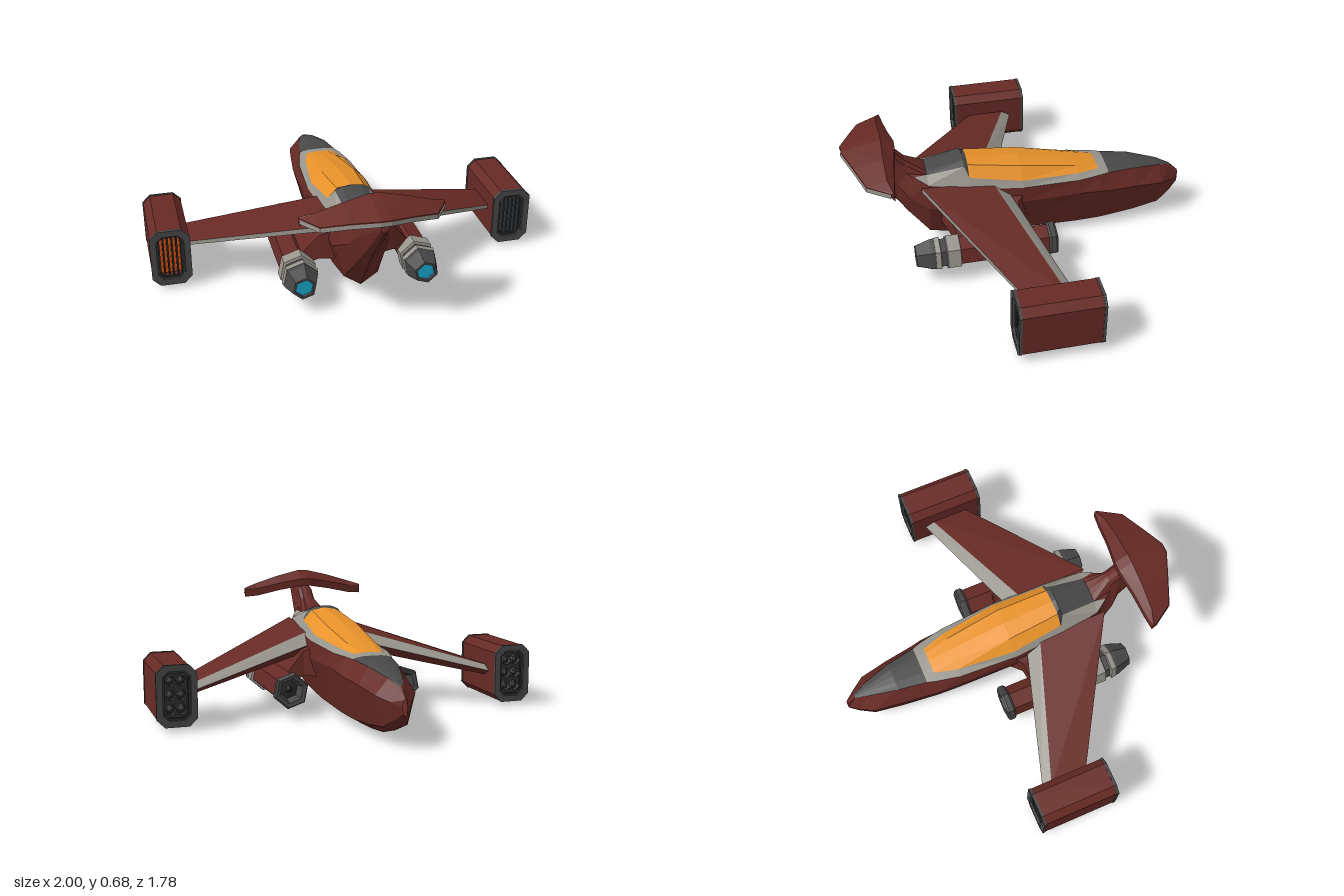
import * as THREE from 'three';

const mat = (color) => new THREE.MeshStandardMaterial({ color, flatShading: true, side: THREE.DoubleSide });
const RED = mat(0x672a25), GREY = mat(0x98958d), DARK = mat(0x484848), BLACK = mat(0x2b2d2f);
const AMBER = mat(0xe8922a), GLOW = mat(0xd8500f), CYAN = mat(0x18a8d0);

function add(parent, name, geometry, material, x = 0, y = 0, z = 0) {
  const mesh = new THREE.Mesh(geometry, material);
  mesh.name = name;
  mesh.position.set(x, y, z);
  parent.add(mesh);
  return mesh;
}

// Skin a row of cross-sections (each a list of [x, y, z]); optionally closed and capped.
function loft(sections, closed = false, capped = false) {
  const n = sections[0].length, index = [];
  for (let i = 0; i + 1 < sections.length; i++) {
    for (let j = 0; j < (closed ? n : n - 1); j++) {
      const a = i * n + j, b = i * n + (j + 1) % n;
      index.push(a, b, a + n, b, b + n, a + n);
    }
  }
  if (capped) {
    const last = (sections.length - 1) * n;
    for (let j = 1; j < n - 1; j++) index.push(0, j + 1, j, last, last + j, last + j + 1);
  }
  const g = new THREE.BufferGeometry();
  g.setAttribute('position', new THREE.Float32BufferAttribute(sections.flat(2), 3));
  g.setIndex(index);
  g.computeVertexNormals();
  return g;
}

// Rectangle with cut corners.
function octagon(w, h, c, Type = THREE.Shape) {
  const x = w / 2, y = h / 2;
  return new Type([[x - c, -y], [x, c - y], [x, y - c], [x - c, y], [c - x, y], [-x, y - c], [-x, c - y], [c - x, -y]]
    .map(([a, b]) => new THREE.Vector2(a, b)));
}

function octagonTube(w, h, c, wall, depth) {
  const shape = octagon(w, h, c);
  shape.holes.push(octagon(w - 2 * wall, h - 2 * wall, c * 0.7, THREE.Path));
  return new THREE.ExtrudeGeometry(shape, { depth, bevelEnabled: false });
}

// Fuselage stations: z, keel y, bilge y, side x y, shoulder x y, deck edge x y, spine y
const STATIONS = [
  [-0.89, 0.16, 0.17, 0.012, 0.2, 0.008, 0.235, 0.004, 0.238, 0.24],
  [-0.84, 0.11, 0.13, 0.055, 0.22, 0.01, 0.288, 0.006, 0.29, 0.292],
  [-0.77, 0.07, 0.09, 0.1, 0.24, 0.035, 0.315, 0.02, 0.318, 0.32],
  [-0.62, 0.025, 0.07, 0.125, 0.26, 0.075, 0.345, 0.06, 0.352, 0.36],
  [-0.47, 0.008, 0.06, 0.145, 0.27, 0.1, 0.355, 0.08, 0.362, 0.368],
  [-0.42, 0.005, 0.06, 0.153, 0.28, 0.115, 0.358, 0.07, 0.37, 0.376],
  [-0.3, 0.003, 0.06, 0.16, 0.29, 0.14, 0.36, 0.105, 0.38, 0.405],
  [0, 0.018, 0.07, 0.168, 0.29, 0.16, 0.375, 0.14, 0.405, 0.475],
  [0.27, 0.04, 0.09, 0.16, 0.3, 0.148, 0.4, 0.118, 0.45, 0.512],
  [0.29, 0.042, 0.09, 0.16, 0.3, 0.146, 0.403, 0.085, 0.5, 0.52],
  [0.48, 0.06, 0.12, 0.14, 0.3, 0.12, 0.435, 0.07, 0.465, 0.475],
  [0.58, 0.2, 0.24, 0.095, 0.36, 0.055, 0.48, 0.04, 0.52, 0.545],
  [0.63, 0.28, 0.31, 0.06, 0.42, 0.045, 0.52, 0.04, 0.57, 0.6],
  [0.88, 0.575, 0.58, 0.02, 0.59, 0.02, 0.6, 0.015, 0.61, 0.62],
];

function buildFuselage(parent) {
  const mirror = (half) => [...half, ...half.slice(0, -1).reverse().map(([x, y, z]) => [-x, y, z])];
  const under = STATIONS.map(([z, yb, y1, w, y2, ws, ys]) =>
    mirror([[ws, ys, z], [w, y2, z], [w * 0.62, y1, z], [0, yb, z]]).reverse());
  const edge = (s) => STATIONS.map(([z, , , , , ws, ys, wf, yf]) => [[s * ws, ys, z], [s * wf, yf, z]]);
  const top = STATIONS.map(([z, , , , , , , wf, yf, yt]) =>
    mirror([[wf, yf, z], [wf * 0.6, yf + (yt - yf) * 0.8, z], [0, yt, z]]));

  add(parent, 'hull', loft(under), RED);
  const decks = [['noseTip', 0, 1, RED, RED], ['noseDeck', 1, 4, DARK, DARK], ['canopySill', 4, 5, GREY, GREY],
    ['canopy', 5, 8, AMBER, GREY], ['canopyHoop', 8, 9, DARK, GREY], ['rearDeck', 9, 10, DARK, GREY], ['tailPost', 10, 13, RED, RED]];
  for (const [name, a, b, topMat, edgeMat] of decks) {
    add(parent, name, loft(top.slice(a, b + 1)), topMat);
    for (const s of [1, -1]) add(parent, name + 'Edge', loft(edge(s).slice(a, b + 1)), edgeMat);
  }
  // grey points running onto the tail post
  for (const s of [1, -1]) {
    add(parent, 'deckPoint', loft([[[s * 0.122, 0.438, 0.478], [s * 0.07, 0.468, 0.478]],
      [[s * 0.083, 0.467, 0.54], [s * 0.08, 0.47, 0.54]]]), GREY);
  }
}

function buildTailplane(parent) {
  // x, leading z, trailing z, ridge y, edge y
  const spans = [[0.345, 0.665, 0.68, 0.59, 0.585], [0.275, 0.657, 0.79, 0.612, 0.59], [0.15, 0.645, 0.84, 0.65, 0.618], [0.025, 0.625, 0.89, 0.68, 0.64]];
  const all = [...spans, ...[...spans].reverse().map(([x, ...r]) => [-x, ...r])];
  add(parent, 'tailplane', loft(all.map(([x, zl, zt, yr, ye]) => {
    const zr = zl + (zt - zl) * 0.25;
    return [[x, ye - 0.022, zt], [x, ye, zt], [x, yr, zr], [x, ye - 0.005, zl], [x, ye - 0.045, zl], [x, ye - 0.03, zr]];
  }), true, true), RED);
  add(parent, 'tailplaneTrim', loft(all.map(([x, , zt, , ye]) => [[x, ye - 0.004, zt + 0.003], [x * 1.005, ye - 0.026, zt + 0.003]])), GREY);
}

function buildWing(parent) {
  // per section: trailing top, trailing bottom, underside, leading edge, top front
  const root = [[0.13, 0.433, 0.515], [0.13, 0.405, 0.515], [0.13, 0.3, 0.14], [0.13, 0.35, 0.075], [0.13, 0.405, 0.15]];
  const tip = [[0.82, 0.205, 0.105], [0.82, 0.185, 0.105], [0.82, 0.15, -0.08], [0.82, 0.178, -0.133], [0.82, 0.205, -0.085]];
  const strip = (a, b) => loft([[root[a], root[b]], [tip[a], tip[b]]]);
  add(parent, 'wingTop', strip(4, 0), RED);
  add(parent, 'wingTrailingTrim', strip(0, 1), GREY);
  add(parent, 'wingUnderside', strip(1, 2), RED);
  add(parent, 'wingLeadingUnderside', strip(2, 3), RED);
  add(parent, 'wingLeadingTrim', strip(3, 4), GREY);
}

function buildEngine(parent) {
  // strut joining the engine to the hull
  const cut = (x, y0, y1, z0, z1) => [[x, y0, z0], [x, y1, z0], [x, y1, z1], [x, y0, z1]];
  add(parent, 'enginePylon', loft([cut(0.12, 0.19, 0.35, -0.04, 0.42), cut(0.19, 0.19, 0.32, 0.03, 0.4), cut(0.28, 0.14, 0.2, 0.05, 0.36)], true, true), RED);
  const engine = new THREE.Group();
  engine.name = 'engine';
  engine.position.set(0.305, 0.145, 0);
  engine.rotation.z = 0.2;
  parent.add(engine);
  // six-sided turned sections, profile as [radius, z]
  const turned = (name, profile, material) => add(engine, name,
    new THREE.LatheGeometry(profile.map(([r, z]) => new THREE.Vector2(r, z)), 6).rotateX(Math.PI / 2), material);
  turned('intakeRing', [[0.084, -0.09], [0.094, -0.1], [0.094, -0.125], [0.086, -0.135], [0.064, -0.13], [0.05, -0.07]], DARK);
  turned('intakeFan', [[0, -0.1], [0.02, -0.075], [0.055, -0.07]], BLACK);
  turned('engineBarrel', [[0.08, -0.1], [0.08, 0.37]], RED);
  turned('engineCollar', [[0.07, 0.36], [0.094, 0.365], [0.094, 0.43], [0.075, 0.435]], GREY);
  turned('engineGap', [[0.08, 0.43], [0.08, 0.465]], DARK);
  turned('engineRearCollar', [[0.075, 0.46], [0.094, 0.465], [0.09, 0.49], [0.075, 0.495]], GREY);
  turned('nozzle', [[0.089, 0.487], [0.086, 0.51], [0.06, 0.585], [0.048, 0.585], [0.046, 0.565]], DARK);
  turned('exhaust', [[0, 0.57], [0.049, 0.57]], CYAN);
}

function buildPod(parent) {
  const pod = new THREE.Group();
  pod.name = 'wingPod';
  pod.position.set(0.9, 0.177, 0);
  parent.add(pod);
  add(pod, 'podShell', octagonTube(0.194, 0.3, 0.037, 0.02, 0.39), RED, 0, 0, -0.198);
  for (const z of [-0.21, 0.188]) {
    add(pod, 'podFrame', octagonTube(0.2, 0.306, 0.04, 0.032, 0.014), DARK, 0, 0, z);
    add(pod, 'podInnerFrame', octagonTube(0.15, 0.256, 0.03, 0.018, 0.012), BLACK, 0, 0, z * 0.94);
  }
  // rear heat vents behind upright slats
  add(pod, 'ventGlow', new THREE.BoxGeometry(0.14, 0.24, 0.01), GLOW, 0, 0, 0.13);
  for (let i = 0; i < 6; i++) add(pod, 'ventSlat', new THREE.BoxGeometry(0.008, 0.245, 0.045), BLACK, -0.055 + i * 0.022, 0, 0.16);
  // forward launch tubes, two by three
  add(pod, 'tubePanel', new THREE.BoxGeometry(0.155, 0.26, 0.01), BLACK, 0, 0, -0.165);
  for (const x of [-0.027, 0.027]) {
    for (const y of [-0.07, 0, 0.07]) {
      add(pod, 'launchTube', new THREE.CylinderGeometry(0.024, 0.024, 0.03, 8, 1, true).rotateX(Math.PI / 2), DARK, x, y, -0.183);
      add(pod, 'warhead', new THREE.ConeGeometry(0.017, 0.03, 8).rotateX(-Math.PI / 2), DARK, x, y, -0.183);
    }
  }
}

export function createModel() {
  const model = new THREE.Group();
  model.name = 'aircraft';
  buildFuselage(model);
  buildTailplane(model);
  const left = new THREE.Group();
  left.name = 'leftSide';
  buildWing(left);
  buildEngine(left);
  buildPod(left);
  const right = left.clone();
  right.name = 'rightSide';
  right.scale.x = -1;
  model.add(left, right);
  return model;
}
